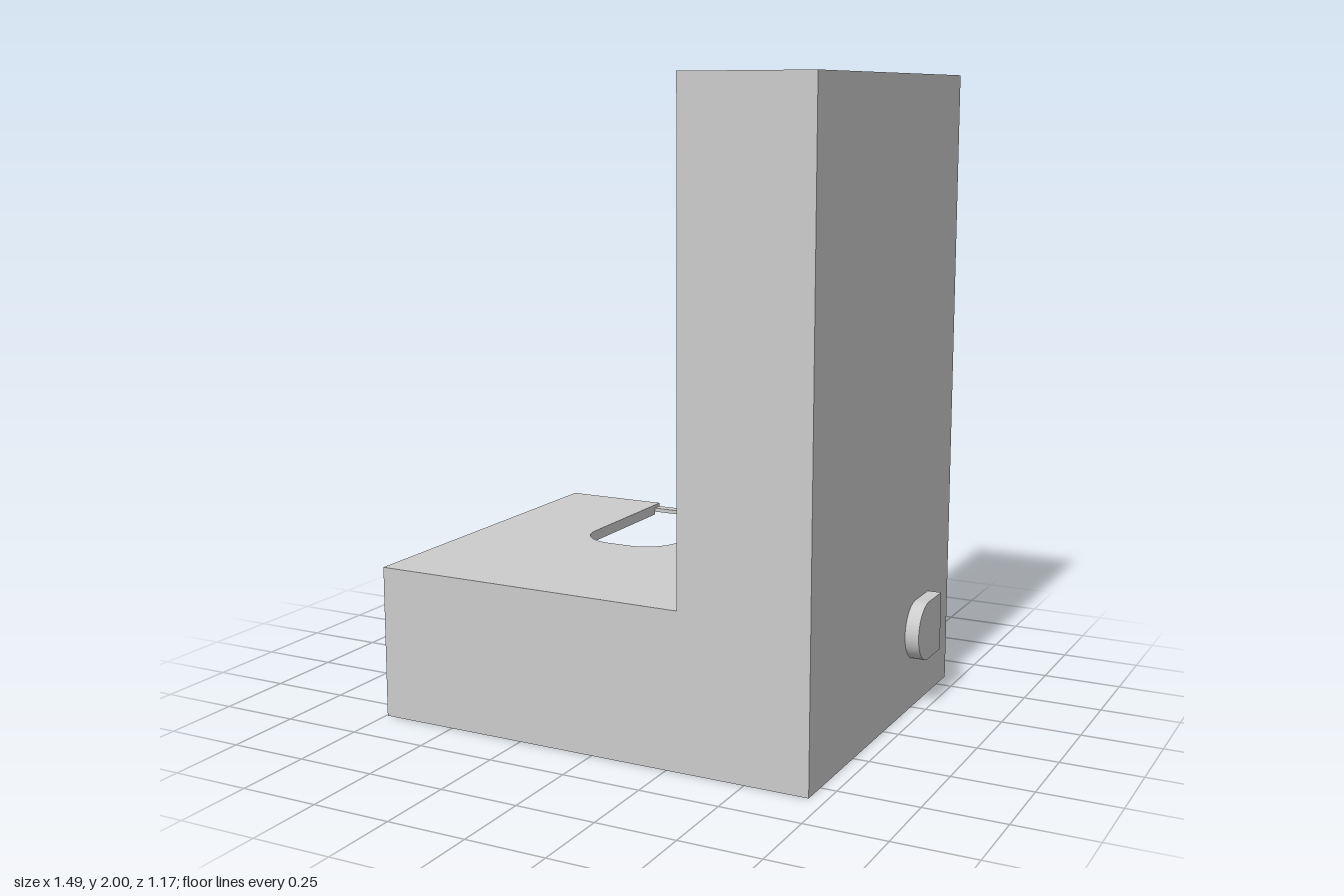
import * as THREE from 'three';

const T = 0.035;                       // wall thickness
const LIP = 0.012;                     // thin outer lip around the lower rear opening
const X0 = -0.745, X1 = 0.7, XA = 0.285, YB = 0.485, Y = 2, ZB = -0.585, ZI = -0.55, ZF = 0.585;

export function createModel() {
  const model = new THREE.Group();
  const mat = new THREE.MeshStandardMaterial({ color: 0xcccccc });

  const add = (name, geo) => {
    const mesh = new THREE.Mesh(geo, mat);
    mesh.name = name;
    model.add(mesh);
    return mesh;
  };

  const box = (name, x0, x1, y0, y1, z0, z1) => {
    add(name, new THREE.BoxGeometry(x1 - x0, y1 - y0, z1 - z0))
      .position.set((x0 + x1) / 2, (y0 + y1) / 2, (z0 + z1) / 2);
  };

  // Opening with a straight rear end at z0 and a rounded front end at z1
  const slot = (z0, z1, s0, s1, r) => {
    const p = new THREE.Path();
    p.moveTo(z0, s0);
    p.lineTo(z1 - r, s0);
    p.absarc(z1 - r, s0 + r, r, -Math.PI / 2, 0, false);
    p.lineTo(z1, s1 - r);
    p.absarc(z1 - r, s1 - r, r, 0, Math.PI / 2, false);
    p.lineTo(z0, s1);
    return p.getPoints(12);
  };

  // Flat panel outline; a notch is open at the rear edge, a hole is closed
  const outline = (s0, s1, { notch, hole } = {}) => {
    const v = (a, b) => new THREE.Vector2(a, b);
    const pts = [v(ZI, s0), v(ZI + T - T, s0), v(ZF - T, s0), v(ZF - T, s1), v(ZI, s1)];
    pts.splice(1, 1);
    if (notch) pts.push(...[...notch].reverse());
    const shape = new THREE.Shape(pts);
    if (hole) shape.holes.push(new THREE.Path(hole));
    return shape;
  };

  const ax = new THREE.Vector3(1, 0, 0), ay = new THREE.Vector3(0, 1, 0), az = new THREE.Vector3(0, 0, 1);
  const extrude = (shape, depth) => new THREE.ExtrudeGeometry(shape, { depth, bevelEnabled: false, curveSegments: 12 });

  // Horizontal panel rising from y; upright panel reaching from x towards -x
  const flat = (name, y, shape) =>
    add(name, extrude(shape, T).applyMatrix4(new THREE.Matrix4().makeBasis(az, ax, ay).setPosition(0, y, 0)));
  const upright = (name, x, shape, depth = T) =>
    add(name, extrude(shape, depth).applyMatrix4(
      new THREE.Matrix4().makeBasis(az, ay, ax.clone().negate()).setPosition(x, 0, 0)));

  // L-shaped front plate
  const ell = new THREE.Shape([[X0, 0], [X1, 0], [X1, Y], [XA, Y], [XA, YB], [X0, YB]]
    .map(([x, y]) => new THREE.Vector2(x, y)));
  add('frontPlate', extrude(ell, T)).position.z = ZF - T;

  // Floor, base roof and tower roof
  flat('floor', 0, outline(X0, X1, { hole: slot(-0.12, 0, -0.39, -0.07, 0.12) }));
  flat('baseRoof', YB - T, outline(X0, XA, { notch: slot(ZI, 0, -0.39, -0.07, 0.12) }));
  flat('towerRoof', Y - T, outline(XA, X1));

  // Side walls
  const button = slot(-0.39, -0.18, 0.16, 0.35, 0.095);
  upright('baseEndWall', X0 + T, outline(T, YB - T, { notch: slot(ZI, 0, 0.083, 0.402, 0.12) }));
  upright('towerInnerWall', XA + T, outline(YB - T, Y - T, { hole: slot(-0.235, 0.38, 1.635, 1.95, 0.12) }));
  upright('outerWall', X1, outline(T, Y - T, { hole: button }));

  // Raised cap closing the pocket in the outer wall
  upright('sideCap', X1 + 0.045, new THREE.Shape(button), 0.045);

  // Rear rim: full thickness on the upper tower, thin lip below
  box('rimTop', XA, X1, Y - T, Y, ZB, ZI);
  box('rimOuterUpper', X1 - T, X1, 1, Y - T, ZB, ZI);
  box('rimInnerUpper', XA, XA + T, 0.93, Y - T, ZB, ZI);
  box('rimOuterLower', X1 - LIP, X1, LIP, 1, ZB, ZI);
  box('rimInnerLower', XA, XA + LIP, YB - LIP, 0.93, ZB, ZI);
  box('rimFloor', X0, X1, 0, LIP, ZB, ZI);
  box('rimRoofLeft', -0.07, XA, YB - LIP, YB, ZB, ZI);
  box('rimRoofRight', X0, -0.39, YB - LIP, YB, ZB, ZI);
  box('rimEndLow', X0, X0 + LIP, LIP, 0.083, ZB, ZI);
  box('rimEndHigh', X0, X0 + LIP, 0.402, YB - LIP, ZB, ZI);

  // Recessed strip bridging the rear of the roof slot
  box('slotBridge', -0.39, -0.07, YB - 0.025, YB - LIP, ZB, ZI);

  return model;
}
